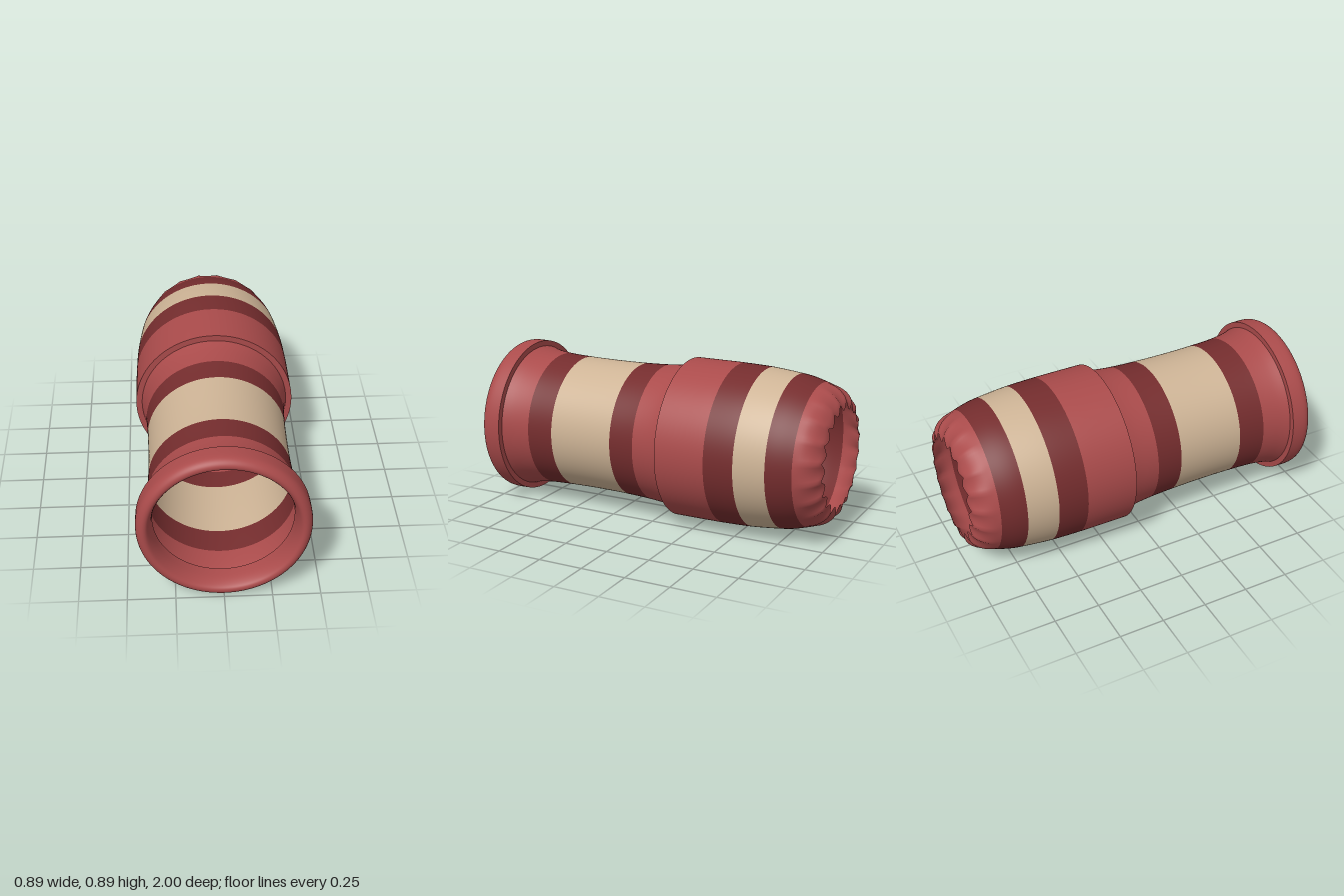
import * as THREE from 'three';
import { mergeVertices } from 'three/addons/utils/BufferGeometryUtils.js';

const RED = 0xaa4b4b, DARK = 0x752d2e, CREAM = 0xceb496;
const SEGMENTS = 120, SCALLOPS = 20, RADIUS = 0.443;

const makeCurve = (pairs) => new THREE.SplineCurve(pairs.map(([z, r]) => new THREE.Vector2(r, z)));

// Part of a profile between two z values (z rises along the profile)
function slice(curve, z0, z1, steps = 8) {
  const samples = curve.getPoints(300);
  const points = [];
  for (let i = 0; i <= steps; i++) {
    const z = z0 + (z1 - z0) * i / steps;
    let k = samples.findIndex((p) => p.y >= z);
    if (k < 0) k = samples.length - 1;
    k = Math.max(k, 1);
    const a = samples[k - 1], b = samples[k];
    const t = THREE.MathUtils.clamp((z - a.y) / (b.y - a.y), 0, 1);
    points.push(new THREE.Vector2(a.x + (b.x - a.x) * t, z));
  }
  return points;
}

export function createModel() {
  const group = new THREE.Group();
  const materials = {};
  const material = (color) => materials[color] ??= new THREE.MeshStandardMaterial({ color, side: THREE.DoubleSide });

  // Turned shell whose axis runs along z
  function add(name, geometry, color) {
    geometry.rotateX(Math.PI / 2);
    const mesh = new THREE.Mesh(geometry, material(color));
    mesh.name = name;
    mesh.position.y = RADIUS;
    group.add(mesh);
  }
  const turn = (points) => new THREE.LatheGeometry(points, SEGMENTS);

  // Waisted front sleeve, banded
  const sleeve = makeCurve([[-0.115, 0.41], [-0.05, 0.396], [0.05, 0.385], [0.2, 0.378],
    [0.4, 0.375], [0.57, 0.377], [0.72, 0.383], [0.82, 0.395], [0.88, 0.41]]);
  [
    ['sleeveRearBand', -0.115, 0.05, RED],
    ['sleeveRearStripe', 0.05, 0.195, DARK],
    ['sleeveCentre', 0.195, 0.57, CREAM],
    ['sleeveFrontStripe', 0.57, 0.72, DARK],
    ['sleeveFrontBand', 0.72, 0.88, RED],
  ].forEach(([name, a, b, color]) => add(name, turn(slice(sleeve, a, b)), color));

  // Wider rear sleeve, tapering towards the back
  const barrel = makeCurve([[-0.87, 0.388], [-0.8, 0.408], [-0.73, 0.42], [-0.57, 0.436],
    [-0.4, 0.442], [-0.25, RADIUS], [-0.115, RADIUS]]);
  [
    ['barrelRearStripe', -0.87, -0.735, DARK],
    ['barrelCreamStripe', -0.735, -0.565, CREAM],
    ['barrelFrontStripe', -0.565, -0.4, DARK],
    ['barrelFrontBand', -0.4, -0.115, RED],
  ].forEach(([name, a, b, color]) => add(name, turn(slice(barrel, a, b)), color));

  // Flat shoulders at the step and behind the cuff
  const ring = (z, r0, r1) => turn([new THREE.Vector2(r0, z), new THREE.Vector2(r1, z)]);
  add('barrelShoulder', ring(-0.115, RADIUS, 0.41), RED);
  add('cuffShoulder', ring(0.88, 0.41, 0.442), RED);

  // Rolled front cuff, turning inwards to a lip
  const cuff = makeCurve([[0.88, 0.442], [0.945, RADIUS], [0.975, 0.437], [0.994, 0.422],
    [1, 0.404], [0.992, 0.387], [0.965, 0.373], [0.93, 0.364], [0.88, 0.359]]);
  add('frontCuff', turn(cuff.getPoints(32)), RED);

  // Gathered rear end: flutes deepen towards the scalloped opening
  const gather = makeCurve([[-0.995, 0.3], [-0.985, 0.325], [-0.955, 0.355], [-0.915, 0.376], [-0.87, 0.388]]);
  let end = turn(gather.getPoints(16));
  const pos = end.attributes.position;
  for (let i = 0; i < pos.count; i++) {
    const x = pos.getX(i), y = pos.getY(i), z = pos.getZ(i);
    const r = Math.hypot(x, z), angle = Math.atan2(x, z);
    const depth = THREE.MathUtils.clamp((0.388 - r) / 0.088, 0, 1);
    const wave = Math.abs(Math.cos(angle * SCALLOPS / 2));
    const scale = 1 - 0.042 * depth * wave / r;
    pos.setXYZ(i, x * scale, y - 0.005 * depth * wave, z * scale);
  }
  end.deleteAttribute('uv');
  end.deleteAttribute('normal');
  end = mergeVertices(end);
  end.computeVertexNormals();
  add('gatheredEnd', end, RED);

  return group;
}
